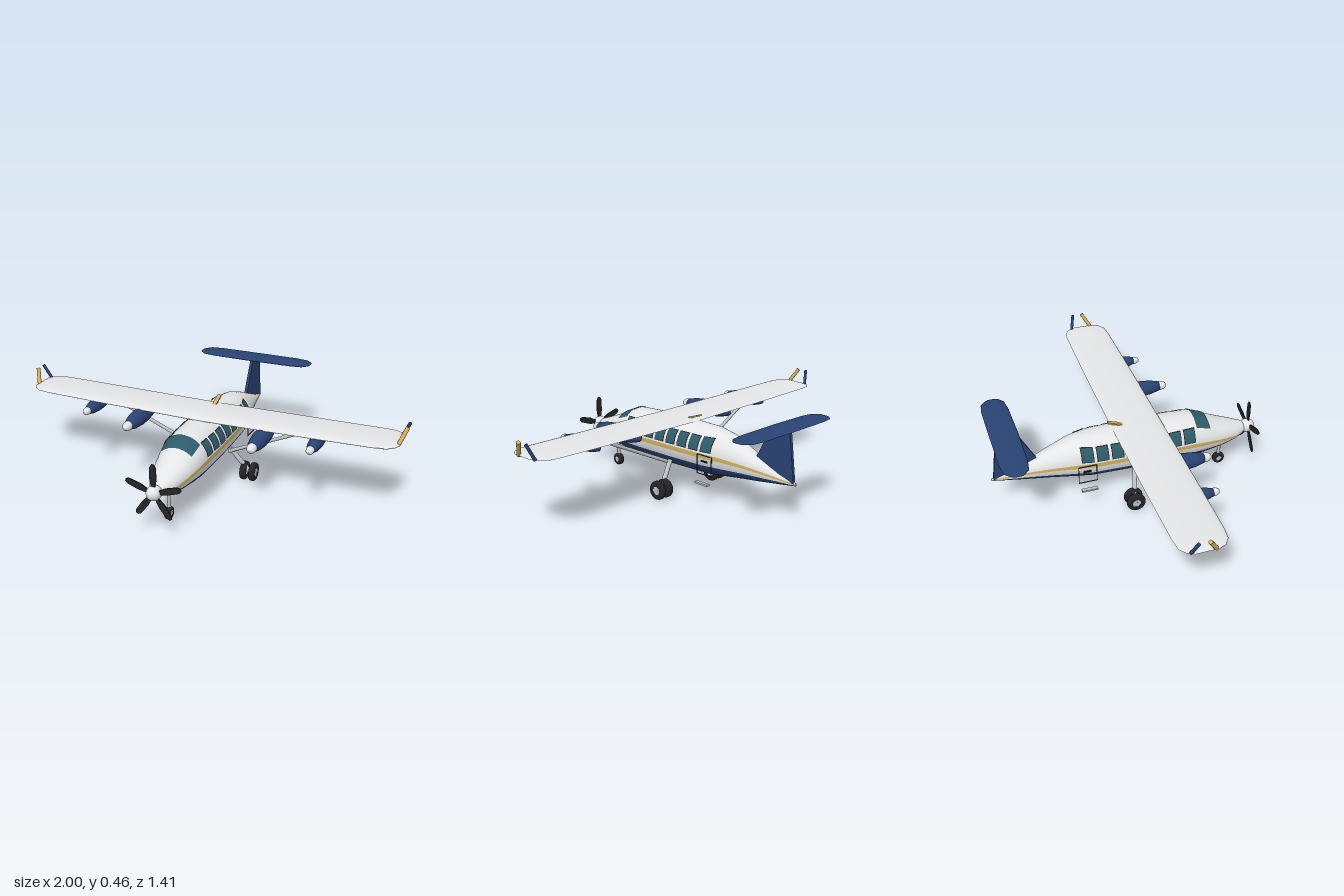
import * as THREE from 'three';

const V = (x, y, z) => new THREE.Vector3(x, y, z);
const mat = (name, color, side = THREE.FrontSide) => {
  const m = new THREE.MeshStandardMaterial({ color, side });
  m.name = name;
  return m;
};

export function createModel() {
  const model = new THREE.Group();
  model.name = 'airplane';
  const white = mat('white', 0xe9eaec, THREE.DoubleSide);
  const navy = mat('navy', 0x2a4374, THREE.DoubleSide);
  const gold = mat('gold', 0xd2b05a, THREE.DoubleSide);
  const glass = mat('glass', 0x2e5b6a, THREE.DoubleSide);
  const black = mat('black', 0x242428, THREE.DoubleSide);
  const metal = mat('metal', 0xbfc1c4);

  const add = (name, geo, material, x = 0, y = 0, z = 0) => {
    const m = new THREE.Mesh(geo, material);
    m.name = name;
    m.position.set(x, y, z);
    model.add(m);
    return m;
  };
  // surface through a row of equal-length point rings
  const loft = (rings) => {
    const n = rings[0].length, index = [];
    for (let i = 0; i < rings.length - 1; i++) {
      for (let j = 0; j < n - 1; j++) {
        const a = i * n + j;
        index.push(a, a + 1, a + n, a + 1, a + n + 1, a + n);
      }
    }
    const g = new THREE.BufferGeometry().setFromPoints(rings.flat());
    g.setIndex(index);
    g.computeVertexNormals();
    return g;
  };
  // round bar between two points
  const rod = (name, a, b, r, material, r2 = r) => {
    const d = b.clone().sub(a);
    const m = add(name, new THREE.CylinderGeometry(r2, r, d.length(), 14), material);
    m.position.copy(a).addScaledVector(d, 0.5);
    m.quaternion.setFromUnitVectors(V(0, 1, 0), d.normalize());
    return m;
  };
  // turned body lying along z, profile as [radius, z]
  const turned = (profile) => new THREE.LatheGeometry(
    profile.map(([r, z]) => new THREE.Vector2(r, z)), 24).rotateX(Math.PI / 2);

  // fuselage stations: z, bottom, top, half width, navy top, stripe bottom, stripe top
  const body = [
    [-0.70, 0.185, 0.200, 0.004, 0.188, 0.190, 0.194],
    [-0.60, 0.172, 0.228, 0.022, 0.190, 0.200, 0.209],
    [-0.50, 0.160, 0.270, 0.045, 0.192, 0.213, 0.226],
    [-0.40, 0.150, 0.315, 0.070, 0.194, 0.225, 0.241],
    [-0.30, 0.139, 0.353, 0.097, 0.195, 0.233, 0.254],
    [-0.20, 0.128, 0.371, 0.115, 0.195, 0.236, 0.258],
    [0.00, 0.125, 0.375, 0.122, 0.195, 0.236, 0.258],
    [0.20, 0.125, 0.375, 0.122, 0.196, 0.236, 0.258],
    [0.34, 0.128, 0.368, 0.118, 0.197, 0.234, 0.256],
    [0.40, 0.135, 0.342, 0.110, 0.195, 0.228, 0.247],
    [0.50, 0.150, 0.298, 0.090, 0.190, 0.215, 0.230],
    [0.58, 0.168, 0.268, 0.066, 0.187, 0.206, 0.214],
    [0.63, 0.185, 0.250, 0.040, 0.187, 0.203, 0.204],
    [0.645, 0.195, 0.241, 0.022, 0.197, 0.203, 0.204],
  ];
  const station = (z) => {
    let i = 0;
    while (i < body.length - 2 && z > body[i + 1][0]) i++;
    const t = (z - body[i][0]) / (body[i + 1][0] - body[i][0]);
    return body[i].map((v, k) => THREE.MathUtils.lerp(v, body[i + 1][k], t));
  };
  const angleAt = (s, y) => Math.asin(THREE.MathUtils.clamp(
    (y - (s[1] + s[2]) / 2) / ((s[2] - s[1]) / 2), -1, 1));
  const arc = (s, a0, a1, n, off = 0) => Array.from({ length: n + 1 }, (_, j) => {
    const a = a0 + (a1 - a0) * j / n;
    return V((s[3] + off) * Math.cos(a),
      (s[1] + s[2]) / 2 + ((s[2] - s[1]) / 2 + off) * Math.sin(a), s[0]);
  });
  // strip of hull over the given stations, between two angle rules
  const skin = (name, rows, f0, f1, n, material, off) =>
    add(name, loft(rows.map((s) => arc(s, f0(s), f1(s), n, off))), material);
  const bothSides = (name, rows, f0, f1, n, material, off) => {
    skin(name, rows, f0, f1, n, material, off);
    skin(name, rows, (s) => Math.PI - f1(s), (s) => Math.PI - f0(s), n, material, off);
  };
  const edge = (k) => (s) => angleAt(s, s[k]);
  skin('upperFuselage', body, edge(6), (s) => Math.PI - edge(6)(s), 24, white);
  skin('belly', body, (s) => -Math.PI - edge(4)(s), edge(4), 24, navy);
  bothSides('lowerSide', body, edge(4), edge(5), 3, white);
  bothSides('stripe', body, edge(5), edge(6), 3, gold);

  // cabin windows with dark frames, and wrapped windshield
  const span = (z0, z1) => [0, 1, 2, 3, 4].map((i) => station(z0 + (z1 - z0) * i / 4));
  for (let i = 0; i < 8; i++) {
    const z = 0.3 - i * 0.076;
    for (const [name, m, e, off] of [['windowFrame', black, 0.004, 0.002], ['window', glass, 0, 0.004]]) {
      bothSides(name, span(z - 0.027 - e, z + 0.027 + e),
        (s) => angleAt(s, 0.271 - e), (s) => angleAt(s, 0.333 + e), 5, m, off);
    }
  }
  skin('windshield', span(0.345, 0.425), () => 0.78, () => Math.PI - 0.78, 16, glass, 0.004);

  // spinner and five-blade propeller
  add('spinner', new THREE.SphereGeometry(0.036, 24, 16), white, 0, 0.218, 0.665).scale.z = 1.12;
  const blade = new THREE.Shape([[-0.008, 0.02], [0.008, 0.02], [0.017, 0.07], [0.015, 0.13],
    [0.006, 0.145], [-0.006, 0.145], [-0.015, 0.13], [-0.017, 0.07]].map(([x, y]) => new THREE.Vector2(x, y)));
  const bladeGeo = new THREE.ExtrudeGeometry(blade, { depth: 0.005, bevelEnabled: false });
  for (let i = 0; i < 5; i++) {
    add('propellerBlade', bladeGeo, black, 0, 0.218, 0.668).rotation.z = i * Math.PI * 0.4;
  }

  // wing-like surfaces: half-span stations of x, trailing z, leading z, y, thickness
  const foil = (name, half, material) => {
    const rows = [...half.slice(1).reverse().map(([x, ...r]) => [-x, ...r]), ...half];
    add(name, loft(rows.map(([x, z0, z1, y, t]) => Array.from({ length: 25 }, (_, j) => {
      const a = j / 24 * Math.PI * 2, s = Math.sin(a);
      return V(x, y + t * s * (1 - 0.4 * Math.cos(a)) * (s < 0 ? 0.6 : 1),
        (z0 + z1) / 2 - (z1 - z0) / 2 * Math.cos(a));
    }))), material);
  };
  foil('wing', [
    [0, -0.08, 0.174, 0.374, 0.016], [0.5, -0.079, 0.172, 0.379, 0.014],
    [0.86, -0.075, 0.167, 0.384, 0.011], [0.92, -0.07, 0.16, 0.385, 0.01],
    [0.955, -0.045, 0.135, 0.386, 0.008], [0.972, -0.01, 0.1, 0.387, 0.0005]], white);
  foil('tailplane', [
    [0, -0.685, -0.545, 0.444, 0.008], [0.22, -0.684, -0.549, 0.444, 0.008],
    [0.285, -0.675, -0.558, 0.444, 0.006], [0.31, -0.65, -0.58, 0.444, 0.004],
    [0.32, -0.635, -0.595, 0.444, 0.0005]], navy);

  // upright fin, drawn in z and y
  const fin = new THREE.Shape([[0.45, 0.2], [0.465, 0.272], [0.555, 0.442], [0.66, 0.442], [0.69, 0.195]]
    .map(([z, y]) => new THREE.Vector2(z, y)));
  add('fin', new THREE.ExtrudeGeometry(fin, { depth: 0.016, bevelEnabled: false })
    .rotateY(Math.PI / 2), navy, -0.008);

  // roof aerial
  add('roofAerial', new THREE.BoxGeometry(0.02, 0.008, 0.09), gold, 0, 0.392, -0.055).rotation.x = 0.33;

  // underwing pods, profile scaled per pod
  const podBody = [[0, -0.02], [0.018, 0], [0.032, 0.05], [0.041, 0.12], [0.042, 0.18], [0.036, 0.24],
    [0.024, 0.285], [0, 0.288]];
  const podNose = [[0.023, 0.278], [0.024, 0.295], [0.021, 0.31], [0.013, 0.322], [0, 0.327]];
  const wheel = (name, r, w, x, y, z) => {
    const b = w * 0.3, h = w / 2;
    const tyre = [[r * 0.45, -h], [r - b, -h], [r - b * 0.3, -h + b * 0.3], [r, -h + b], [r, h - b],
      [r - b * 0.3, h - b * 0.3], [r - b, h], [r * 0.45, h]].map((p) => new THREE.Vector2(...p));
    add(name, new THREE.LatheGeometry(tyre, 28).rotateZ(Math.PI / 2), black, x, y, z);
    add(name + 'Hub', new THREE.CylinderGeometry(r * 0.46, r * 0.46, w * 0.9, 20).rotateZ(Math.PI / 2), metal, x, y, z);
  };
  const bar = (w, h, d) => new THREE.BoxGeometry(w, h, d);

  for (const s of [-1, 1]) {
    for (const [x, y, k, dz] of [[0.325, 0.338, 1, 0], [0.588, 0.35, 0.82, -0.008]]) {
      add('podBody', turned(podBody), navy, s * x, y, dz).scale.setScalar(k);
      add('podNose', turned(podNose), white, s * x, y, dz).scale.setScalar(k);
    }
    // split wingtip fins
    rod('goldTipFin', V(s * 0.96, 0.382, 0.09), V(s * 0.99, 0.458, 0.045), 0.01, gold);
    rod('navyTipFin', V(s * 0.957, 0.384, -0.025), V(s * 0.99, 0.46, -0.006), 0.008, navy);
    // wing strut and main gear
    rod('wingStrut', V(s * 0.1, 0.16, 0.015), V(s * 0.55, 0.374, 0.055), 0.009, metal);
    rod('mainGearLeg', V(s * 0.197, 0.052, -0.02), V(s * 0.105, 0.175, 0.01), 0.012, metal);
    rod('mainAxle', V(s * 0.16, 0.05, -0.02), V(s * 0.235, 0.05, -0.02), 0.008, metal);
    wheel('mainWheel', 0.048, 0.03, s * 0.173, 0.05, -0.02);
    wheel('mainWheel', 0.048, 0.03, s * 0.221, 0.05, -0.02);
    // door outline, handle and step
    for (const z of [-0.192, -0.285]) add('doorFrame', bar(0.004, 0.098, 0.003), black, s * 0.122, 0.208, z);
    for (const y of [0.16, 0.256]) add('doorFrame', bar(0.004, 0.003, 0.094), black, s * 0.122, y, -0.238);
    add('doorHandle', bar(0.008, 0.006, 0.04), black, s * 0.126, 0.228, -0.242);
    add('doorStep', bar(0.02, 0.009, 0.082), metal, s * 0.132, 0.116, -0.234);
  }

  // nose gear
  rod('noseGearLeg', V(0, 0.04, 0.515), V(0, 0.16, 0.515), 0.009, metal);
  wheel('noseWheel', 0.032, 0.03, 0, 0.04, 0.515);
  return model;
}
